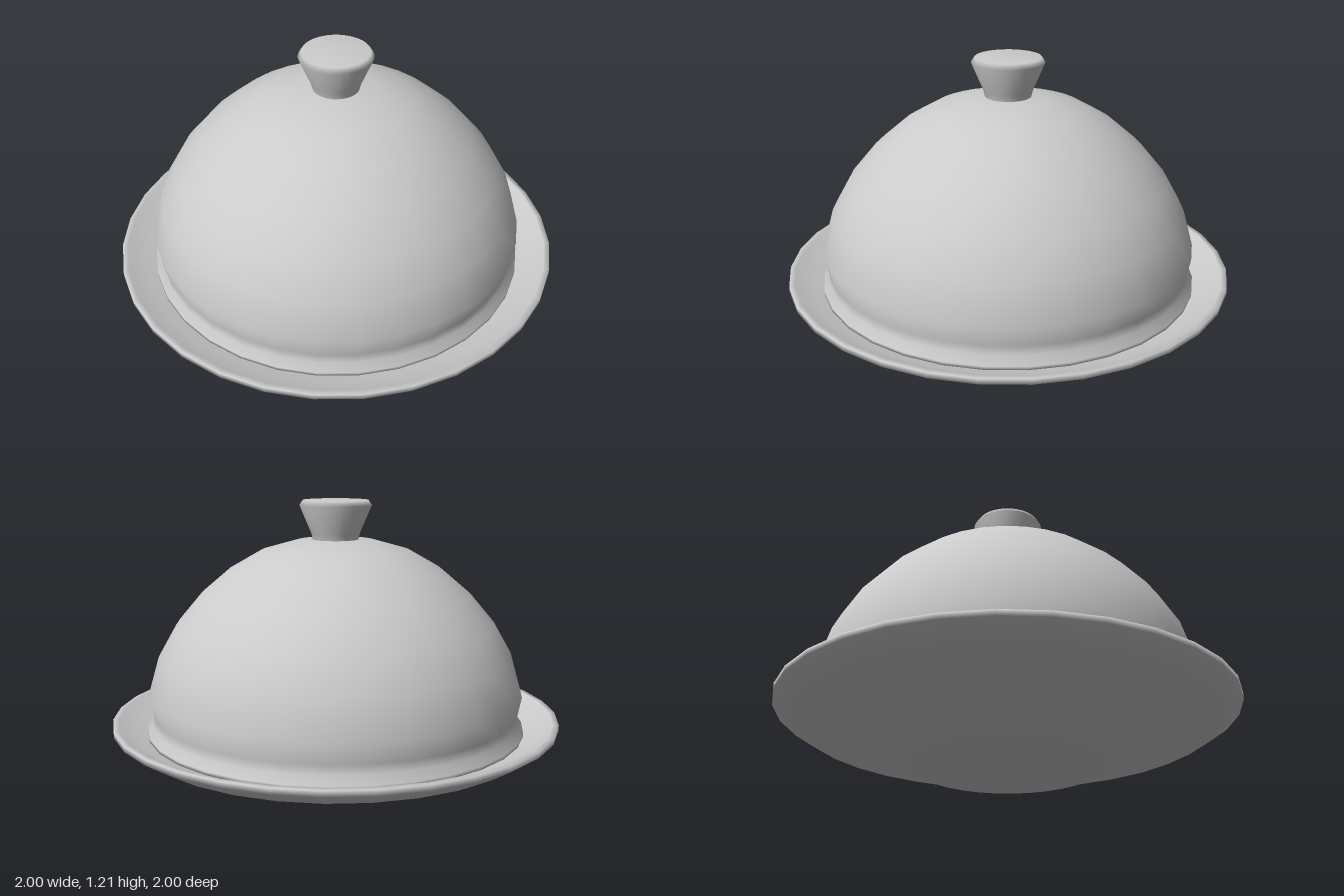
import * as THREE from 'three';

const SEGMENTS = 32;

// Turns a profile of [radius, height] pairs, listed so that faces point outward
function turned(name, profile, material) {
  const points = profile.map(([r, y]) => new THREE.Vector2(r, y));
  const mesh = new THREE.Mesh(new THREE.LatheGeometry(points, SEGMENTS), material);
  mesh.name = name;
  return mesh;
}

export function createModel() {
  const group = new THREE.Group();
  group.name = 'coveredServingDish';
  const solid = new THREE.MeshStandardMaterial({ color: 0xcccccc });
  const thin = new THREE.MeshStandardMaterial({ color: 0xcccccc, side: THREE.DoubleSide });

  // Shallow dished plate: underside, rim, then the inside back to the axis
  group.add(turned('plate', [
    [0, 0], [0.41, 0], [0.46, 0.025], [0.9, 0.16], [1, 0.225], [1, 0.25],
    [0.975, 0.25], [0.89, 0.2], [0.45, 0.065], [0, 0.04],
  ], solid));

  // Domed cover with a slightly flared lip resting in the plate
  group.add(turned('domeCover', [
    [0.82, 0.18], [0.85, 0.19], [0.85, 0.205], [0.825, 0.24], [0.822, 0.28],
    [0.838, 0.365], [0.79, 0.53], [0.71, 0.67], [0.6, 0.8], [0.47, 0.91],
    [0.33, 0.99], [0.17, 1.035], [0, 1.042],
  ], thin));

  // Flared knob on the crown
  group.add(turned('knob', [
    [0.1, 1.03], [0.108, 1.065], [0.16, 1.188], [0.145, 1.21], [0, 1.21],
  ], solid));

  return group;
}
